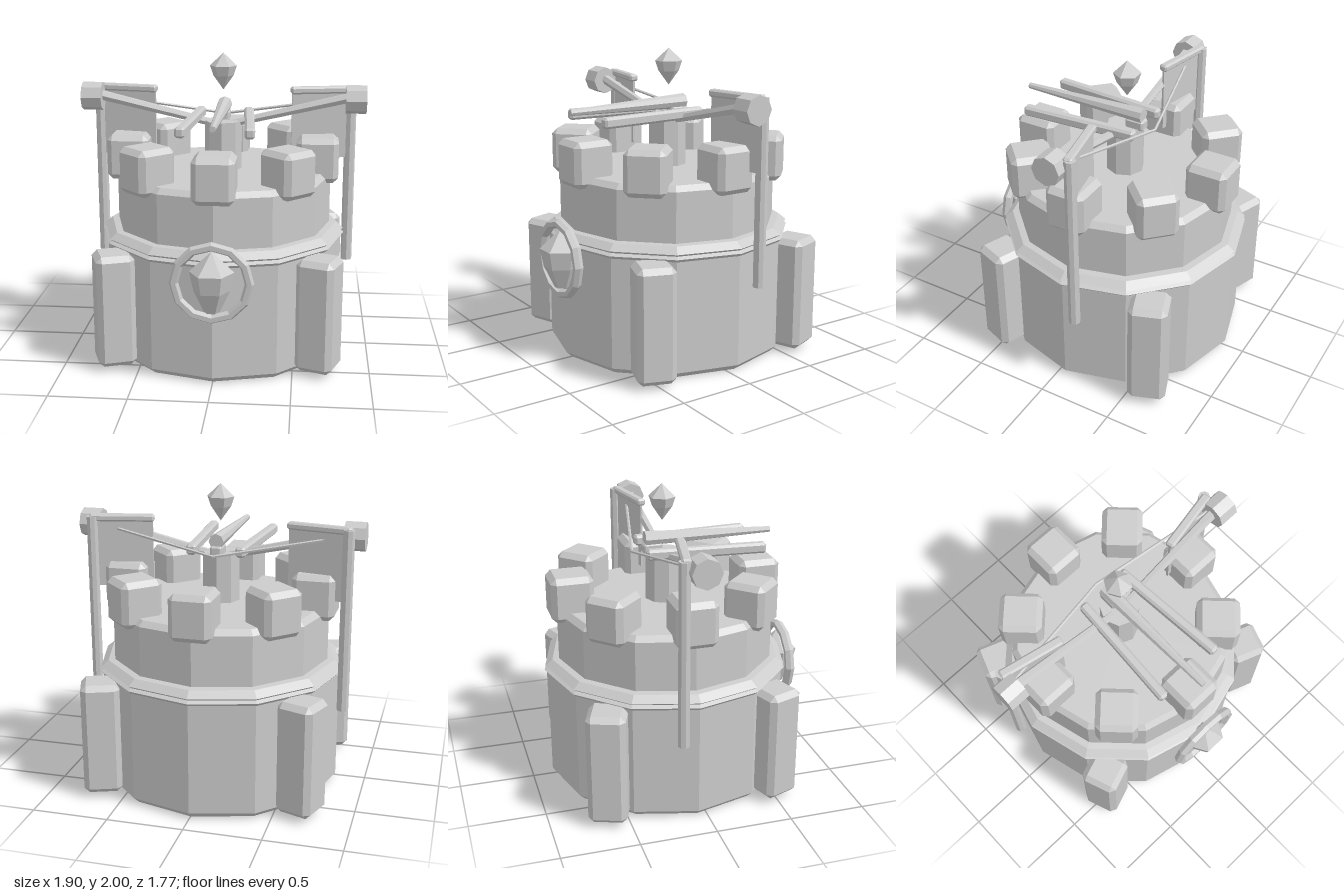
import * as THREE from 'three';
import { ConvexGeometry } from 'three/addons/geometries/ConvexGeometry.js';

const material = new THREE.MeshStandardMaterial({ color: 0xcccccc, flatShading: true, side: THREE.DoubleSide });
const CZ = -0.06; // z of the tower axis

function add(parent, name, geometry, x = 0, y = 0, z = 0, ry = 0) {
  const mesh = new THREE.Mesh(geometry, material);
  mesh.name = name;
  mesh.position.set(x, y, z);
  mesh.rotation.y = ry;
  parent.add(mesh);
  return mesh;
}

// Box with every edge and corner cut
function chamferBox(w, h, d, c) {
  const points = [];
  for (const sx of [-1, 1]) for (const sy of [-1, 1]) for (const sz of [-1, 1]) {
    for (let k = 0; k < 3; k++) {
      const inset = [c, c, c];
      inset[k] = 0;
      points.push(new THREE.Vector3(
        sx * (w / 2 - inset[0]), sy * (h / 2 - inset[1]), sz * (d / 2 - inset[2])));
    }
  }
  return new ConvexGeometry(points);
}

function lathe(profile, sides, phase = 0) {
  return new THREE.LatheGeometry(profile.map(([r, y]) => new THREE.Vector2(r, y)), sides, phase);
}

// Straight, optionally tapered bar between two points
function beam(parent, name, a, b, ra, rb, sides = 6) {
  const from = new THREE.Vector3(...a), to = new THREE.Vector3(...b);
  const dir = to.clone().sub(from);
  const mesh = add(parent, name, new THREE.CylinderGeometry(rb, ra, dir.length(), sides));
  mesh.position.copy(from).add(to).multiplyScalar(0.5);
  mesh.quaternion.setFromUnitVectors(new THREE.Vector3(0, 1, 0), dir.normalize());
  return mesh;
}

export function createModel() {
  const model = new THREE.Group();
  model.name = 'ballistaTower';

  // Tower walls: base, ledge and upper storey
  add(model, 'towerBase', lathe([[0, 0], [0.765, 0], [0.805, 0.04], [0.805, 0.78]], 12), 0, 0, CZ);
  add(model, 'ledge', lathe([[0.78, 0.765], [0.805, 0.77], [0.825, 0.79], [0.80, 0.805],
    [0.82, 0.82], [0.77, 0.86], [0.72, 0.865]], 12), 0, 0, CZ);
  add(model, 'upperWall', lathe([[0.725, 0.8], [0.725, 1.19], [0.69, 1.225], [0, 1.225]], 12), 0, 0, CZ);

  // Battlements
  const block = chamferBox(0.27, 0.30, 0.28, 0.035);
  for (let i = 0; i < 8; i++) {
    const a = i * Math.PI / 4;
    add(model, 'battlement', block, Math.sin(a) * 0.635, 1.305, CZ + Math.cos(a) * 0.635, a);
  }

  // Buttresses
  const buttress = chamferBox(0.25, 0.75, 0.25, 0.035);
  for (const sx of [-1, 1]) for (const sz of [-1, 1]) {
    add(model, 'buttress', buttress, sx * 0.665, 0.405, CZ + sz * 0.555, -sx * sz * 0.35);
  }

  // Ringed crystal on the front wall
  const ring = add(model, 'crystalRing', new THREE.TorusGeometry(0.235, 0.03, 6, 12), 0, 0.69, 0.775);
  ring.scale.z = 1.15;
  add(model, 'frontCrystal', lathe([[0, 0.485], [0.05, 0.50], [0.115, 0.64], [0.14, 0.76], [0, 0.89]],
    6, Math.PI / 6), 0, 0, 0.765);

  // Crystal floating above the tower
  add(model, 'topCrystal', lathe([[0, 1.755], [0.068, 1.85], [0.09, 1.915], [0, 2]],
    6, Math.PI / 6), 0, 0, -0.07);

  // Ballista pedestal, bolt and nock
  const ballista = new THREE.Group();
  ballista.name = 'ballista';
  model.add(ballista);
  add(ballista, 'pedestal', new THREE.CylinderGeometry(0.125, 0.125, 0.34, 8), 0, 1.38, CZ);
  beam(ballista, 'bolt', [0, 1.64, -0.19], [0, 1.63, 0.68], 0.05, 0.02, 8);
  add(ballista, 'nock', chamferBox(0.08, 0.07, 0.13, 0.012), 0, 1.575, -0.14);

  for (const s of [-1, 1]) {
    // Rails beside the bolt
    add(ballista, 'rail', chamferBox(0.065, 0.07, 0.79, 0.015), s * 0.19, 1.582, 0.175, s * 0.07);
    // Bow arm, its drum and half of the string
    beam(ballista, 'bowArm', [0, 1.515, CZ], [s * 0.84, 1.71, -0.075], 0.025, 0.035, 6);
    const drum = add(ballista, 'bowDrum', new THREE.CylinderGeometry(0.095, 0.095, 0.135, 8), s * 0.882, 1.70, -0.07);
    drum.rotation.z = Math.PI / 2;
    beam(ballista, 'bowString', [s * 0.82, 1.70, -0.11], [0, 1.56, -0.275], 0.01, 0.01, 5);

    // Banner pole, crossbar and cloth
    const banner = new THREE.Group();
    banner.name = 'banner';
    model.add(banner);
    add(banner, 'bannerPole', new THREE.CylinderGeometry(0.038, 0.038, 1.2, 8), s * 0.852, 1.16, -0.178);
    add(banner, 'bannerCrossbar', chamferBox(0.43, 0.048, 0.06, 0.012), s * 0.66, 1.752, -0.128, s * 0.2);
    add(banner, 'bannerCloth', new THREE.BoxGeometry(0.38, 0.46, 0.015), s * 0.645, 1.52, -0.126, s * 0.2);
  }
  return model;
}
